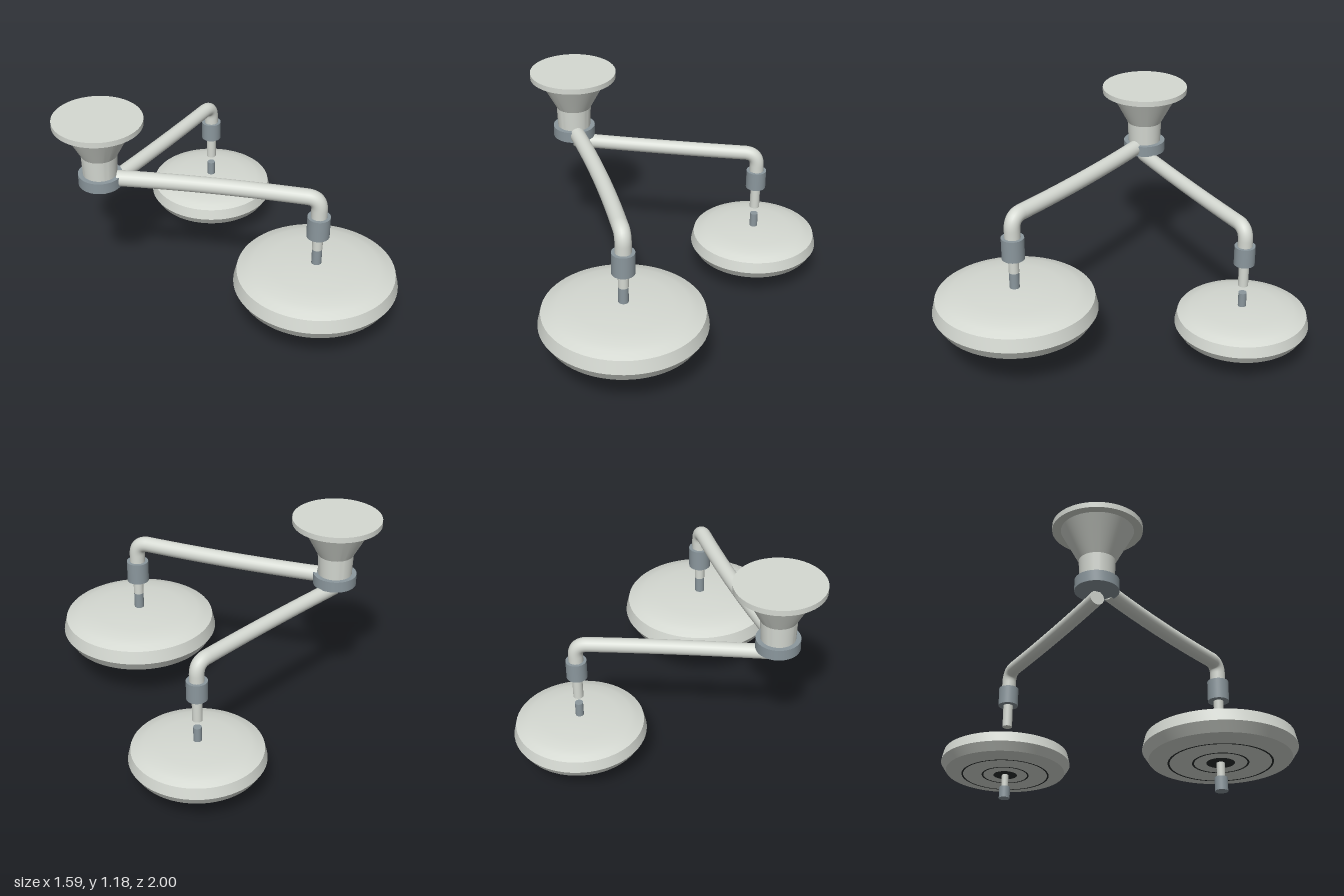
import * as THREE from 'three';
import { toCreasedNormals } from 'three/addons/utils/BufferGeometryUtils.js';

const enamel = new THREE.MeshStandardMaterial({ color: 0xd5d9d2 });
enamel.name = 'light enamel';
const steel = new THREE.MeshStandardMaterial({ color: 0x8b979d });
steel.name = 'grey steel';
const dark = new THREE.MeshStandardMaterial({ color: 0x2c3131 });
dark.name = 'dark groove';

function add(parent, name, geometry, material) {
  const mesh = new THREE.Mesh(geometry, material);
  mesh.name = name;
  parent.add(mesh);
  return mesh;
}

// Turned part from [radius, y] pairs listed bottom to top
function turned(parent, name, profile, material) {
  const points = profile.map(([r, y]) => new THREE.Vector2(r, y));
  const geometry = new THREE.LatheGeometry(points, 64);
  return add(parent, name, toCreasedNormals(geometry, 0.3), material);
}

function rod(parent, name, r, y0, y1, material) {
  const mesh = add(parent, name, new THREE.CylinderGeometry(r, r, y1 - y0, 32), material);
  mesh.position.y = (y0 + y1) / 2;
  return mesh;
}

// Lamp head with its origin at the top of the dome
function lampHead(name, scale) {
  const lamp = new THREE.Group();
  lamp.name = name;
  turned(lamp, 'lampShell', [
    [0, -0.2], [0.3, -0.197], [0.36, -0.187], [0.404, -0.182], [0.44, -0.125],
    [0.423, -0.053], [0.38, -0.035], [0.34, -0.022], [0.25, -0.011], [0.13, -0.003], [0, 0],
  ], enamel);
  // Concentric grooves on the underside
  for (const [inner, outer] of [[0.286, 0.297], [0.149, 0.16], [0, 0.08]]) {
    const groove = add(lamp, 'undersideRing', new THREE.RingGeometry(inner, outer, 64), dark);
    groove.rotation.x = Math.PI / 2;
    groove.position.y = -0.203;
  }
  rod(lamp, 'lampStem', 0.027, -0.01, 0.098, steel);
  rod(lamp, 'handleRod', 0.023, -0.3, -0.19, enamel);
  rod(lamp, 'handleGrip', 0.037, -0.37, -0.29, steel);
  lamp.scale.setScalar(scale);
  return lamp;
}

// Gently bowed horizontal arm that turns down into the joint
function arm(parent, name, start, end, bow, r, bottom) {
  const y = start.y, bend = 0.07;
  const dir = end.clone().sub(start).normalize();
  const side = new THREE.Vector3(dir.z, 0, -dir.x);
  const corner = end.clone();
  const before = corner.clone().addScaledVector(dir, -bend);
  const below = corner.clone().setY(y - bend);
  const middle = start.clone().add(before).multiplyScalar(0.5).addScaledVector(side, bow * 2);
  const path = new THREE.CurvePath();
  path.add(new THREE.QuadraticBezierCurve3(start, middle, before));
  path.add(new THREE.QuadraticBezierCurve3(before, corner, below));
  path.add(new THREE.LineCurve3(below, corner.clone().setY(bottom)));
  add(parent, name, new THREE.TubeGeometry(path, 120, r, 24), enamel);
  // Flat cap on the mount end
  const cap = add(parent, name + 'Cap', new THREE.CircleGeometry(r, 24), enamel);
  const startDir = middle.clone().sub(start).normalize();
  cap.position.copy(start);
  cap.lookAt(start.clone().sub(startDir));
}

export function createModel() {
  const model = new THREE.Group();
  model.name = 'twinCeilingLamp';

  // Ceiling mount
  const mount = new THREE.Group();
  mount.name = 'ceilingMount';
  mount.position.set(-0.563, 0, -0.152);
  model.add(mount);
  turned(mount, 'ceilingPlate', [[0, 1.155], [0.237, 1.155], [0.237, 1.185], [0, 1.185]], enamel);
  turned(mount, 'mountCone', [
    [0, 0.85], [0.09, 0.85], [0.096, 0.975], [0.192, 1.156], [0, 1.156],
  ], enamel);
  turned(mount, 'mountCollar', [[0, 0.8], [0.116, 0.8], [0.116, 0.86], [0, 0.86]], steel);

  // Two arms, each with a joint and a lamp
  const units = [
    { name: 'front', z: 0.555, startX: -0.49, startZ: -0.095, y: 0.836, r: 0.043, bow: 0.015,
      hub: [0.061, 0.598, 0.72], rod: [0.028, 0.515, 0.6], top: 0.425, scale: 1 },
    { name: 'rear', z: -0.645, startX: -0.56, startZ: -0.15, y: 0.765, r: 0.039, bow: -0.007,
      hub: [0.055, 0.555, 0.66], rod: [0.027, 0.425, 0.56], top: 0.301, scale: 0.81 },
  ];
  for (const u of units) {
    const unit = new THREE.Group();
    unit.name = u.name + 'Unit';
    model.add(unit);
    arm(unit, u.name + 'Arm', new THREE.Vector3(u.startX, u.y, u.startZ),
      new THREE.Vector3(0.354, u.y, u.z), u.bow, u.r, u.hub[2] - 0.02);
    const drop = new THREE.Group();
    drop.name = u.name + 'Drop';
    drop.position.set(0.354, 0, u.z);
    unit.add(drop);
    rod(drop, 'joint', ...u.hub, steel);
    rod(drop, 'dropRod', ...u.rod, enamel);
    const lamp = lampHead(u.name + 'Lamp', u.scale);
    lamp.position.y = u.top;
    drop.add(lamp);
  }
  return model;
}
